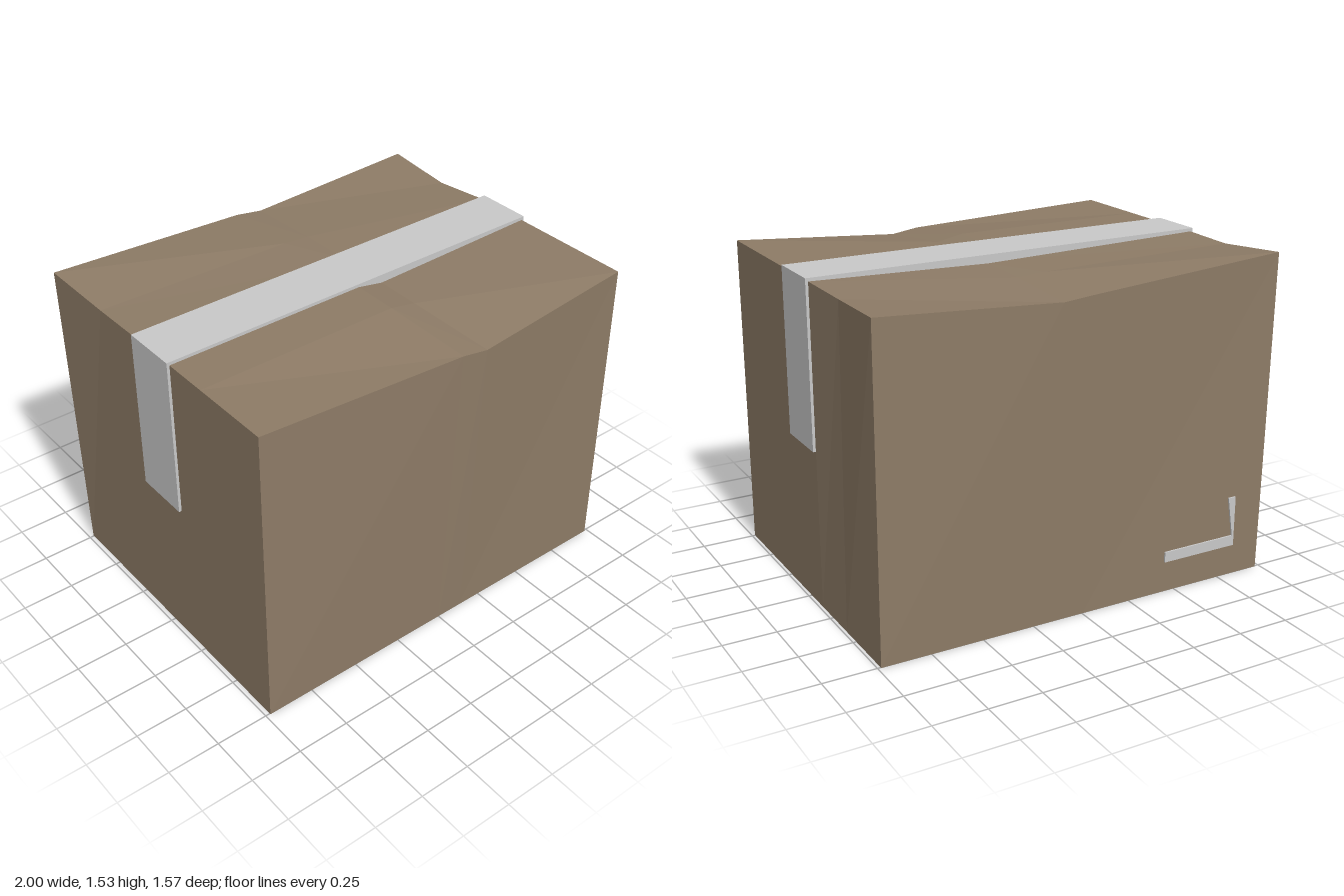
import * as THREE from 'three';

const cardboard = new THREE.MeshStandardMaterial({ color: 0x8d7b66 });
cardboard.name = 'cardboard brown';
const tapeGrey = new THREE.MeshStandardMaterial({ color: 0xc8c8c8 });
tapeGrey.name = 'tape grey';

// Columns and rows of the creased lid, with its heights from back to front
const cols = [-0.978, 0, 0.13, 0.985];
const rows = [-0.755, -0.4, -0.13, 0.14, 0.36, 0.755];
const heights = [
  [1.535, 1.475, 1.46, 1.51],
  [1.505, 1.49, 1.48, 1.495],
  [1.51, 1.488, 1.485, 1.51],
  [1.51, 1.51, 1.485, 1.51],
  [1.51, 1.51, 1.485, 1.51],
  [1.51, 1.465, 1.445, 1.51],
];
const backZ = [-0.755, -0.786, -0.775, -0.76];
const frontZ = [0.75, 0.776, 0.78, 0.75];

function lidPoint(r, c) {
  let x = cols[c], z = rows[r];
  if (r === 0) z = backZ[c];
  if (r === 5) {
    z = frontZ[c];
    if (c === 1 || c === 2) x += 0.04;
  }
  if (r === 0 && c === 0) x = -1; // pulled corner
  if (r === 1 && c === 3) x = 0.965; // dented side edge
  return [x, heights[r][c], z];
}
const basePoint = (r, c) => [cols[c], 0, rows[r]];

function carton() {
  const pos = [];
  const quad = (a, b, c, d) => pos.push(...a, ...b, ...c, ...a, ...c, ...d);

  // Lid and base
  for (let r = 0; r < 5; r++) {
    for (let c = 0; c < 3; c++) {
      quad(lidPoint(r, c), lidPoint(r + 1, c), lidPoint(r + 1, c + 1), lidPoint(r, c + 1));
      quad(basePoint(r, c), basePoint(r, c + 1), basePoint(r + 1, c + 1), basePoint(r + 1, c));
    }
  }

  // Walls follow the rim: left, front, right, back
  const rim = [];
  for (let r = 0; r < 5; r++) rim.push([r, 0]);
  for (let c = 0; c < 3; c++) rim.push([5, c]);
  for (let r = 5; r > 0; r--) rim.push([r, 3]);
  for (let c = 3; c > 0; c--) rim.push([0, c]);
  rim.forEach((p, i) => {
    const q = rim[(i + 1) % rim.length];
    quad(basePoint(...p), basePoint(...q), lidPoint(...q), lidPoint(...p));
  });

  const geometry = new THREE.BufferGeometry();
  geometry.setAttribute('position', new THREE.Float32BufferAttribute(pos, 3));
  geometry.computeVertexNormals();
  return geometry;
}

export function createModel() {
  const model = new THREE.Group();
  model.name = 'cardboardBox';
  const add = (name, geometry, material, x = 0, y = 0, z = 0) => {
    const mesh = new THREE.Mesh(geometry, material);
    mesh.name = name;
    mesh.position.set(x, y, z);
    model.add(mesh);
  };

  add('carton', carton(), cardboard);

  // Tape over the lid and down both sides
  add('tapeTop', new THREE.BoxGeometry(1.985, 0.04, 0.27), tapeGrey, 0.0025, 1.505, 0.005);
  add('tapeLeft', new THREE.BoxGeometry(0.02, 0.775, 0.27), tapeGrey, 0.988, 1.1375, 0.005);
  add('tapeRight', new THREE.BoxGeometry(0.02, 0.775, 0.27), tapeGrey, -0.981, 1.1375, 0.005);

  // Corner strip on the back wall, low down
  const strip = new THREE.Shape([
    [-0.44, 0.15], [-0.44, 0.2], [-0.82, 0.2], [-0.79, 0.395], [-0.83, 0.395], [-0.83, 0.15],
  ].map(([x, y]) => new THREE.Vector2(x, y)));
  add('backMark', new THREE.ExtrudeGeometry(strip, { depth: 0.008, bevelEnabled: false }),
    tapeGrey, 0, 0, -0.764);

  return model;
}
